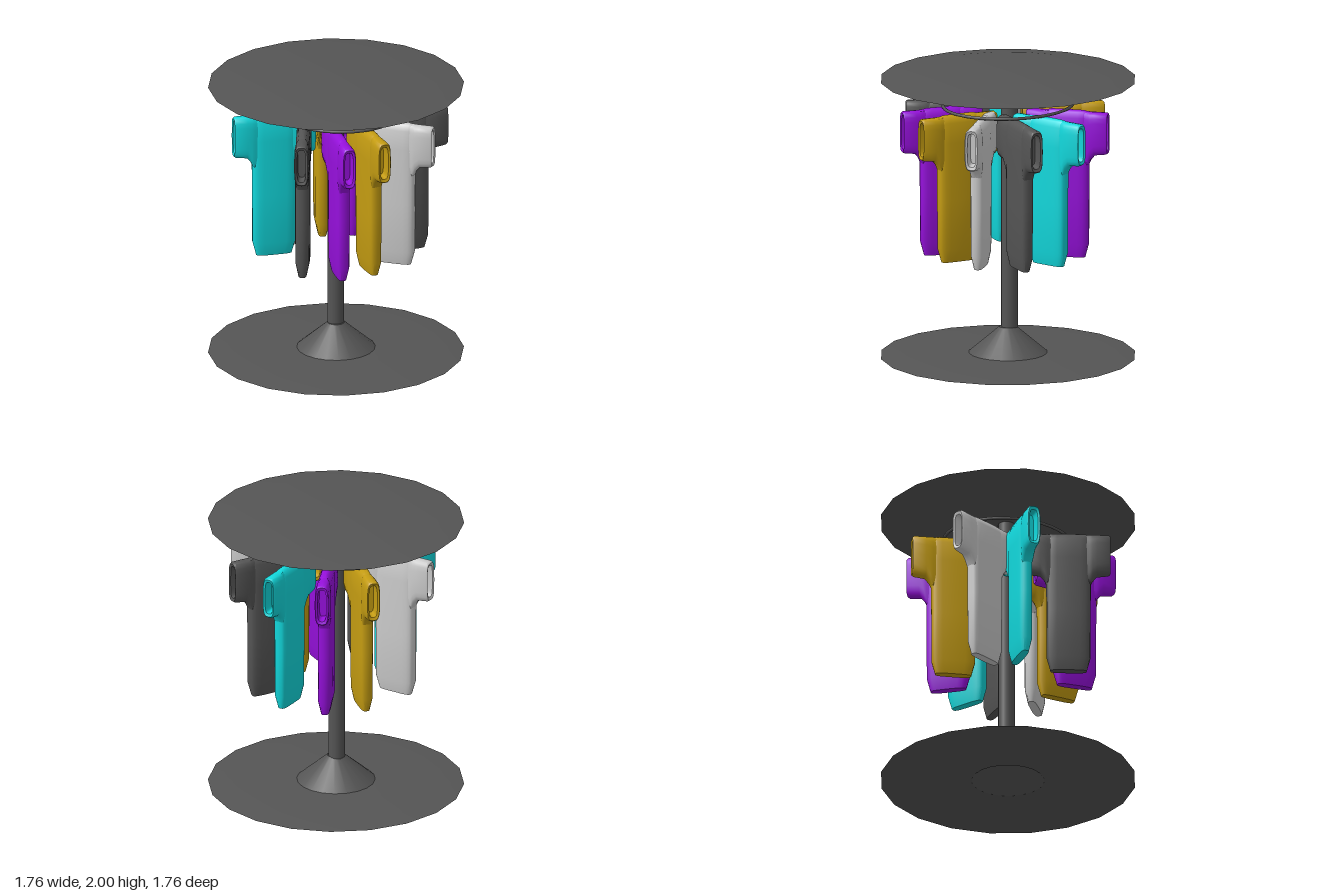
import * as THREE from 'three';
import { toCreasedNormals } from 'three/addons/utils/BufferGeometryUtils.js';

const material = (color) => new THREE.MeshStandardMaterial({ color });

function add(parent, name, geometry, mat) {
  const mesh = new THREE.Mesh(geometry, mat);
  mesh.name = name;
  parent.add(mesh);
  return mesh;
}

function lathe(profile, sides) {
  const points = profile.map(([r, y]) => new THREE.Vector2(r, y));
  return toCreasedNormals(new THREE.LatheGeometry(points, sides), 0.5);
}

// Closed loft along y through rounded sections [y, centreX, halfX, halfZ]
function loft(sections, n = 20) {
  const pos = [], index = [];
  const soft = (v) => Math.sign(v) * Math.abs(v) ** 0.55;
  for (const [y, cx, a, b] of sections) {
    for (let i = 0; i < n; i++) {
      const t = (i / n) * Math.PI * 2;
      pos.push(cx + a * soft(Math.cos(t)), y, b * soft(Math.sin(t)));
    }
  }
  const last = sections.length - 1;
  for (let s = 0; s < last; s++) {
    for (let i = 0; i < n; i++) {
      const p = s * n + i, q = s * n + ((i + 1) % n);
      index.push(p, p + n, q, q, p + n, q + n);
    }
  }
  for (const s of [0, last]) {
    const centre = pos.length / 3;
    pos.push(sections[s][1], sections[s][0], 0);
    for (let i = 0; i < n; i++) {
      const p = s * n + i, q = s * n + ((i + 1) % n);
      index.push(...(s === 0 ? [centre, p, q] : [centre, q, p]));
    }
  }
  const g = new THREE.BufferGeometry();
  g.setAttribute('position', new THREE.Float32BufferAttribute(pos, 3));
  g.setIndex(index);
  return toCreasedNormals(g, 0.8);
}

export function createModel() {
  const model = new THREE.Group();
  const dark = material(0x555555);

  // Stand: hollow flared base, post, hanging ring and top disc
  const stand = new THREE.Group();
  stand.name = 'stand';
  model.add(stand);
  add(stand, 'base', lathe([
    [0, 0.17], [0.05, 0.17], [0.25, 0.02], [0.7, 0.005], [0.88, 0.027],
    [0.7, 0.045], [0.27, 0.05], [0.06, 0.23], [0, 0.23],
  ], 20), dark);
  add(stand, 'post', new THREE.CylinderGeometry(0.057, 0.057, 1.78, 16), dark)
    .position.set(-0.01, 1.08, -0.005);
  const ring = add(stand, 'hangingRing', new THREE.TorusGeometry(0.468, 0.011, 8, 40), dark);
  ring.rotation.x = Math.PI / 2;
  ring.scale.y = 0.91;
  ring.position.y = 1.8;
  add(stand, 'topDisc', lathe([
    [0, 1.953], [0.7, 1.957], [0.88, 1.975], [0.7, 1.997], [0, 2],
  ], 20), dark);

  // Shirt body, narrowed at hem and shoulders
  const bodyGeometry = loft([
    [0.755, 0, 0.125, 0.03], [0.85, 0, 0.15, 0.05], [1.2, 0, 0.152, 0.052],
    [1.6, 0, 0.155, 0.052], [1.74, 0, 0.155, 0.046], [1.78, 0, 0.15, 0.03], [1.79, 0, 0.12, 0.012],
  ]);
  // Sleeve, flared at the armpit and hollow at the cuff
  const sleeveGeometry = loft([
    [0.08, -1.59, 0.19, 0.03], [0.145, -1.59, 0.195, 0.048], [0.165, -1.612, 0.17, 0.051],
    [0.195, -1.63, 0.152, 0.052], [0.275, -1.635, 0.147, 0.05], [0.287, -1.635, 0.138, 0.043],
    [0.28, -1.635, 0.118, 0.03], [0.2, -1.635, 0.11, 0.027],
  ]);
  sleeveGeometry.rotateZ(-Math.PI / 2);

  const cloth = {
    dark,
    grey: material(0xcccccc),
    cyan: material(0x12d8dc),
    purple: material(0x9610dc),
    gold: material(0xc49c12),
  };

  // Shirts around the ring: colour, x, z, heading in degrees
  const shirts = [
    ['dark', 0.16, 0.43, 42],
    ['purple', 0.365, 0.28, 25],
    ['gold', 0.42, 0.06, 17],
    ['grey', 0.42, -0.165, -32],
    ['dark', 0.28, -0.4, -70],
    ['cyan', 0.05, -0.45, -98],
    ['purple', -0.21, -0.37, -122],
    ['gold', -0.36, -0.17, -145],
    ['grey', -0.39, 0.17, 175],
    ['cyan', -0.235, 0.36, 115],
  ];
  for (const [color, x, z, heading] of shirts) {
    const shirt = new THREE.Group();
    shirt.name = color + 'Shirt';
    shirt.position.set(x, 0, z);
    shirt.rotation.y = -THREE.MathUtils.degToRad(heading);
    add(shirt, 'shirtBody', bodyGeometry, cloth[color]);
    add(shirt, 'outerSleeve', sleeveGeometry, cloth[color]);
    add(shirt, 'innerSleeve', sleeveGeometry, cloth[color]).rotation.y = Math.PI;
    model.add(shirt);
  }
  return model;
}
